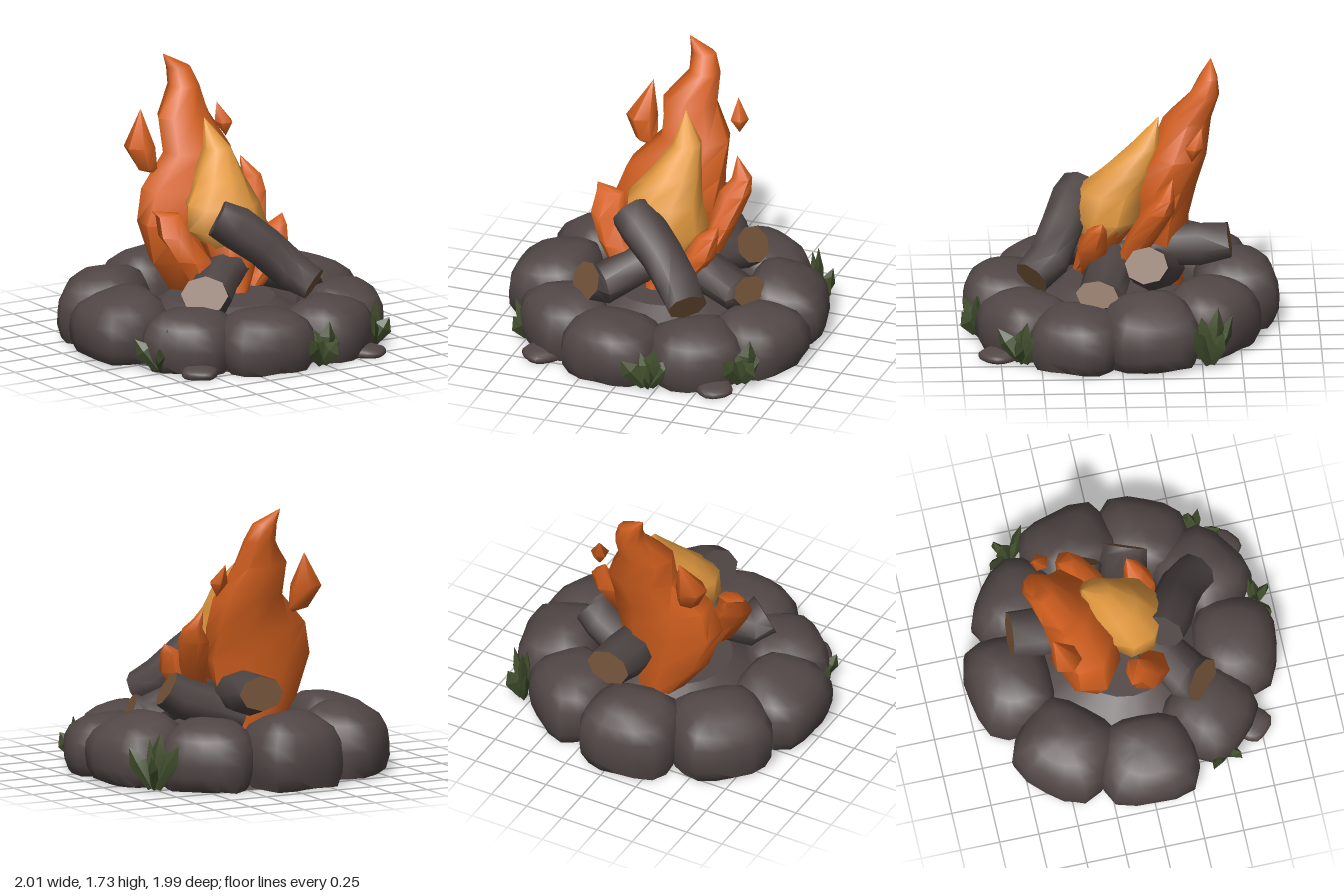
import * as THREE from 'three';
import { toCreasedNormals } from 'three/addons/utils/BufferGeometryUtils.js';

const mat = (name, color, side = THREE.FrontSide) => {
  const m = new THREE.MeshStandardMaterial({ color, side });
  m.name = name;
  return m;
};

// Skin a row of rings [x, y, z, ru, rv]; rings lie flat, or square to the path.
// Material group 0 is the side and first end, group 1 the last end.
function loft(rings, sides, { alongPath = false, twist = 0, crease = 1 } = {}) {
  const centres = rings.map(r => new THREE.Vector3(r[0], r[1], r[2]));
  const last = rings.length - 1;
  const points = rings.map((r, i) => {
    const u = new THREE.Vector3(1, 0, 0), v = new THREE.Vector3(0, 0, -1);
    if (alongPath) {
      const d = centres[Math.min(i + 1, last)].clone().sub(centres[Math.max(i - 1, 0)]).normalize();
      u.set(-d.z, 0, d.x).normalize();
      v.crossVectors(d, u);
    }
    return Array.from({ length: sides }, (_, j) => {
      const a = j / sides * Math.PI * 2 + i * twist;
      return centres[i].clone().addScaledVector(u, Math.cos(a) * r[3]).addScaledVector(v, Math.sin(a) * r[4]);
    });
  });
  const pos = [];
  const tri = (...ps) => ps.forEach(p => pos.push(p.x, p.y, p.z));
  for (let j = 0; j < sides; j++) {
    const k = (j + 1) % sides;
    for (let i = 0; i < last; i++) {
      const a = points[i][j], b = points[i][k], c = points[i + 1][k], d = points[i + 1][j];
      if (rings[i][3] > 0) tri(a, b, c);
      if (rings[i + 1][3] > 0) tri(a, c, d);
    }
    if (rings[0][3] > 0) tri(centres[0], points[0][k], points[0][j]);
  }
  const sideCount = pos.length / 3;
  if (rings[last][3] > 0) {
    for (let j = 0; j < sides; j++) tri(centres[last], points[last][j], points[last][(j + 1) % sides]);
  }
  const g = new THREE.BufferGeometry();
  g.setAttribute('position', new THREE.Float32BufferAttribute(pos, 3));
  g.addGroup(0, sideCount, 0);
  g.addGroup(sideCount, pos.length / 3 - sideCount, 1);
  return toCreasedNormals(g, crease);
}

// Boulder: boxy in plan, domed on top, sloping down outwards, cut flat underneath
function boulder(w, d, h, slope, seed) {
  const g = new THREE.SphereGeometry(1, 16, 10);
  const p = g.attributes.position, v = new THREE.Vector3();
  for (let i = 0; i < p.count; i++) {
    v.fromBufferAttribute(p, i);
    const plan = (Math.abs(v.x) ** 3.4 + Math.abs(v.z) ** 3.4) ** (1 / 3.4);
    const n = v.y > 0 ? 2.6 : 3;
    const norm = (plan ** n + Math.abs(v.y) ** n) ** (1 / n);
    const bump = 1 + 0.035 * Math.sin(v.x * 3 + seed * 2.1) * Math.cos(v.z * 4 + v.y * 2 + seed);
    v.multiplyScalar(bump / norm);
    const y = h * 0.42 + v.y * h * 0.58 * (1 - slope * v.z);
    p.setXYZ(i, v.x * w, Math.max(0.01, y), v.z * d);
  }
  return toCreasedNormals(g, 1);
}

export function createModel() {
  const model = new THREE.Group();
  model.name = 'campfire';
  const stone = mat('stone grey', 0x514746);
  const bark = mat('bark grey', 0x4e4544);
  const wood = mat('cut wood brown', 0x725238);
  const orange = mat('flame orange', 0xd4601f);
  const yellow = mat('flame yellow', 0xe39a40);
  const green = mat('grass green', 0x414e2d, THREE.DoubleSide);
  const add = (name, geometry, material, parent = model) => {
    const m = new THREE.Mesh(geometry, material);
    m.name = name;
    parent.add(m);
    return m;
  };

  // Ring of boulders and two pebbles: x, z, half width, half depth, height, outward slope
  [
    [-0.07, -0.73, 0.31, 0.26, 0.47, 0.05], [0.43, -0.57, 0.29, 0.25, 0.44, 0.1],
    [0.73, -0.18, 0.3, 0.26, 0.44, 0.22], [0.71, 0.27, 0.29, 0.26, 0.37, 0.08],
    [0.41, 0.59, 0.29, 0.26, 0.37, 0.04], [-0.1, 0.69, 0.3, 0.26, 0.38, 0],
    [-0.5, 0.45, 0.28, 0.26, 0.38, 0.05], [-0.73, 0, 0.31, 0.27, 0.43, 0.18],
    [-0.56, -0.48, 0.32, 0.28, 0.45, 0.12],
    [-0.57, 0.69, 0.11, 0.12, 0.09, 0.3], [0.59, 0.75, 0.11, 0.13, 0.08, 0.3],
  ].forEach(([x, z, w, d, h, slope], i) => {
    const m = add(i < 9 ? 'boulder' : 'pebble', boulder(w, d, h, slope, i), stone);
    m.position.set(x, 0, z);
    m.rotation.y = Math.atan2(x, z);
  });

  // Bed inside the ring
  const bed = add('ashBed', new THREE.CylinderGeometry(0.34, 0.78, 0.3, 20), stone);
  bed.position.y = 0.16;

  // Logs, from the inner end to the cut outer end: x, y, z, radii
  const logs = {
    frontLog: [[-0.16, 0.87, 0.22, 0.14, 0.12], [-0.06, 0.81, 0.28, 0.15, 0.14], [0.1, 0.68, 0.36, 0.14, 0.13],
      [0.24, 0.53, 0.44, 0.14, 0.13], [0.34, 0.45, 0.55, 0.13, 0.11]],
    leftLog: [[0.08, 0.54, 0.08, 0.12, 0.11], [-0.12, 0.5, 0.2, 0.14, 0.12], [-0.31, 0.4, 0.35, 0.16, 0.12],
      [-0.38, 0.45, 0.43, 0.15, 0.12]],
    rightLog: [[0.05, 0.48, 0, 0.12, 0.11], [0.3, 0.46, 0.07, 0.15, 0.12], [0.52, 0.38, 0.12, 0.15, 0.11],
      [0.6, 0.42, 0.15, 0.14, 0.09]],
    rightBackLog: [[0.05, 0.4, -0.3, 0.12, 0.1], [0.28, 0.47, -0.23, 0.14, 0.13], [0.42, 0.52, -0.19, 0.14, 0.13],
      [0.51, 0.58, -0.16, 0.14, 0.12]],
    backLog: [[0.1, 0.48, 0, 0.1, 0.1], [0.1, 0.56, -0.3, 0.14, 0.13], [0.11, 0.57, -0.5, 0.16, 0.14],
      [0.12, 0.6, -0.69, 0.15, 0.11]],
  };
  for (const [name, rings] of Object.entries(logs)) {
    add(name, loft(rings, 8, { alongPath: true }), [bark, wood]);
  }

  // Flames, from bottom to tip
  const flame = (name, rings, material, sides = 8, twist = 0.15) =>
    add(name, loft(rings, sides, { twist, crease: 1.2 }), [material, material]);
  flame('mainFlame', [
    [-0.03, 0.25, -0.3, 0.13, 0.1], [-0.07, 0.5, -0.26, 0.28, 0.18], [-0.08, 0.76, -0.25, 0.36, 0.21],
    [-0.05, 0.96, -0.29, 0.33, 0.21], [0.05, 1.16, -0.37, 0.23, 0.18], [-0.01, 1.37, -0.43, 0.18, 0.15],
    [0.05, 1.54, -0.53, 0.1, 0.1], [0.03, 1.65, -0.56, 0.08, 0.06], [-0.07, 1.74, -0.58, 0, 0],
  ], orange);
  flame('innerFlame', [
    [0.05, 0.6, 0.12, 0.14, 0.1], [0.02, 0.75, 0.05, 0.27, 0.22], [-0.01, 0.91, 0.03, 0.24, 0.22],
    [0.03, 1.05, -0.07, 0.16, 0.17], [0.07, 1.21, -0.16, 0.09, 0.1], [0.03, 1.39, -0.25, 0, 0],
  ], yellow, 9);
  flame('flameCore', [[0, 0.38, 0.22, 0.06, 0.06], [0.02, 0.55, 0.12, 0.15, 0.13], [0.03, 0.74, 0.05, 0.23, 0.19],
    [0, 0.85, 0, 0, 0]], orange);
  flame('leftFlame', [[-0.2, 0.4, 0.17, 0.08, 0.07], [-0.28, 0.6, 0.14, 0.12, 0.1], [-0.37, 0.75, 0.06, 0.11, 0.1],
    [-0.38, 0.87, 0, 0.09, 0.06], [-0.48, 0.9, -0.04, 0, 0]], orange, 6);
  flame('rightBackFlame', [[0.22, 0.45, -0.03, 0.07, 0.07], [0.31, 0.7, -0.14, 0.09, 0.1],
    [0.36, 0.88, -0.24, 0.1, 0.1], [0.39, 0.97, -0.28, 0.065, 0.06], [0.34, 1.09, -0.33, 0, 0]], orange, 6);
  flame('rightFrontFlame', [[0.14, 0.4, 0.17, 0.07, 0.07], [0.28, 0.62, 0.17, 0.1, 0.1],
    [0.32, 0.75, 0.14, 0.07, 0.06], [0.38, 0.81, 0.11, 0, 0]], orange, 6);
  flame('leftFloatingFlame', [[-0.23, 1.03, -0.38, 0, 0], [-0.29, 1.07, -0.4, 0.07, 0.06],
    [-0.33, 1.21, -0.43, 0.1, 0.1], [-0.28, 1.43, -0.5, 0, 0]], orange, 6);
  flame('rightFloatingFlame', [[0.31, 1.19, -0.45, 0, 0], [0.305, 1.28, -0.46, 0.06, 0.06],
    [0.28, 1.4, -0.51, 0, 0]], orange, 5);

  // Grass tufts: x, z, height, each a fan of leaf-shaped blades
  [[-0.74, 0.5, 0.28], [0.2, 0.89, 0.28], [0.73, 0.62, 0.29], [0.8, -0.55, 0.38]].forEach(([x, z, h]) => {
    const tuft = new THREE.Group();
    tuft.name = 'grassTuft';
    [[-0.16, 0.04, 0.72], [-0.05, -0.03, 0.85], [0.05, 0.01, 1], [0.17, 0, 0.78], [0.03, 0.1, 0.62]]
      .forEach(([lean, out, s]) => add('grassBlade', loft([
        [lean * 0.1, 0.02, 0, 0.025, 0.03], [lean * 0.65, h * s * 0.65, out * 0.6, 0.03, 0.06],
        [lean, h * s, out, 0, 0],
      ], 4, { alongPath: true, crease: 0.3 }), [green, green], tuft));
    tuft.position.set(x, 0.02, z);
    tuft.rotation.y = Math.atan2(x, z);
    model.add(tuft);
  });

  return model;
}
